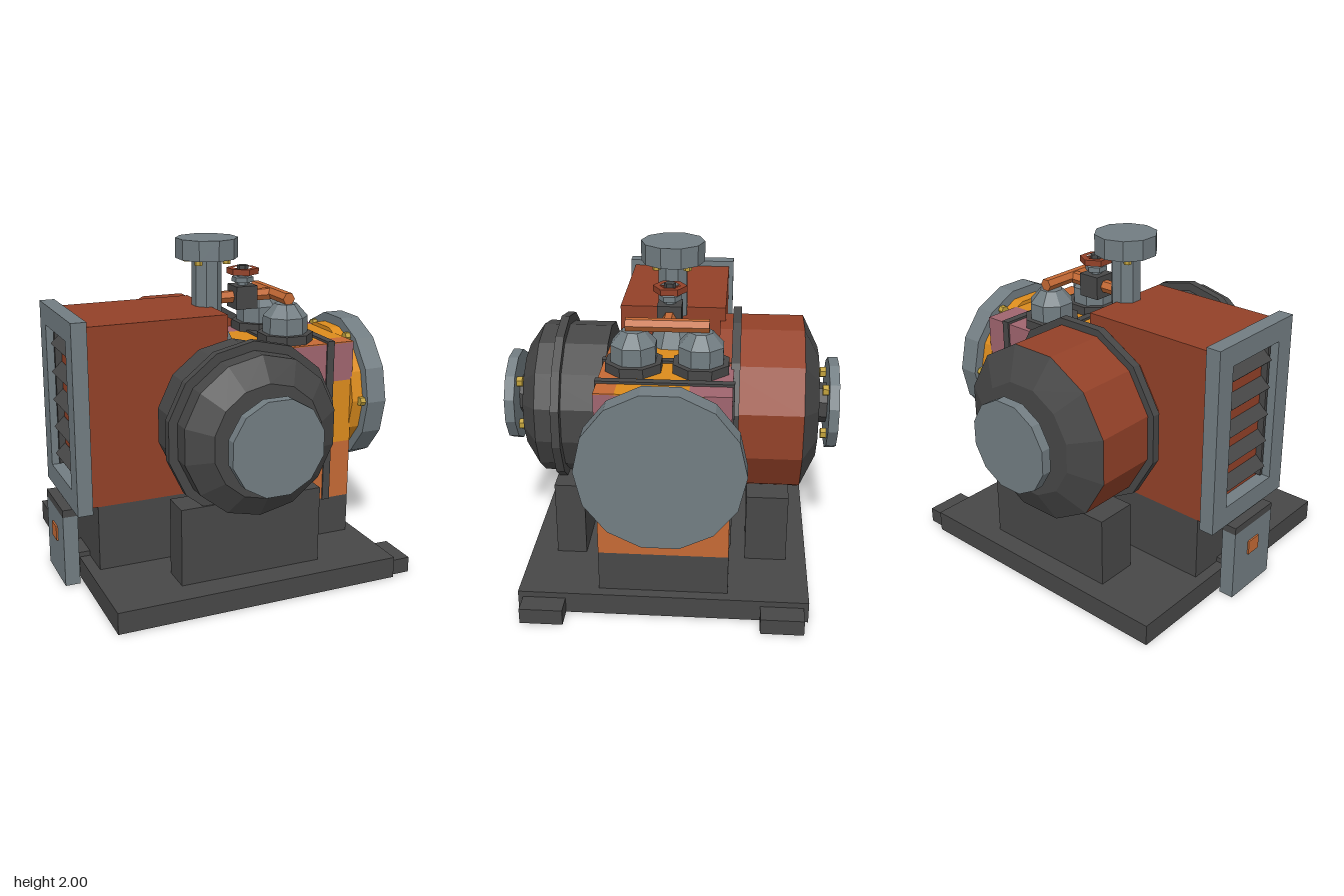
import * as THREE from 'three';

const material = (name, color) => {
  const m = new THREE.MeshStandardMaterial({ color, flatShading: true });
  m.name = name;
  return m;
};
const dark = material('dark iron', 0x474747);
const steel = material('blue grey steel', 0x727d82);
const rust = material('rust red', 0x934128);
const ochre = material('ochre', 0xdc8c1d);
const copper = material('copper', 0xc56a35);
const mauve = material('mauve', 0xa0656f);
const brass = material('brass', 0xc2a23c);

export function createModel() {
  const model = new THREE.Group();
  model.name = 'compressor';

  const add = (name, geometry, mat) => {
    const mesh = new THREE.Mesh(geometry, mat);
    mesh.name = name;
    model.add(mesh);
    return mesh;
  };
  // Box given by its limits on each axis
  const box = (name, mat, x0, x1, y0, y1, z0, z1) => {
    const mesh = add(name, new THREE.BoxGeometry(x1 - x0, y1 - y0, z1 - z0), mat);
    mesh.position.set((x0 + x1) / 2, (y0 + y1) / 2, (z0 + z1) / 2);
  };
  // Faceted cylinder or cone along an axis, from a to b, with radii ra and rb
  const cyl = (name, mat, axis, [x, y, z], a, b, ra, rb = ra, sides = 14, turn = 0) => {
    const g = new THREE.CylinderGeometry(rb, ra, b - a, sides, 1, false, turn);
    g.translate(0, (a + b) / 2, 0);
    if (axis === 'x') g.rotateZ(-Math.PI / 2);
    if (axis === 'z') g.rotateX(Math.PI / 2);
    g.translate(x, y, z);
    add(name, g, mat);
  };
  // Half-facet turns that put flats on the axes
  const flat8 = Math.PI / 8;
  const flat12 = Math.PI / 12;

  // Hollow base tray, open below, with lugs
  box('baseTop', dark, -0.875, 0.875, 0.12, 0.13, -0.843, 0.843);
  for (const s of [-1, 1]) {
    const x = s * 0.87;
    const z = s * 0.838;
    box('baseEndWall', dark, x - 0.005, x + 0.005, 0, 0.12, -0.843, 0.843);
    box('baseSideWall', dark, -0.865, 0.865, 0, 0.12, z - 0.005, z + 0.005);
    box('baseLug', dark, 0.78, 1, 0, 0.095, s * 0.69 - 0.125, s * 0.69 + 0.125);
  }

  // Pedestals and cylinder saddles
  box('bodyPedestal', dark, 0, 0.81, 0.125, 0.375, -0.375, 0.375);
  box('housingPedestal', dark, -0.81, 0, 0.125, 0.535, -0.31, 0.31);
  box('frontSaddle', dark, -0.44, 0.435, 0.125, 0.595, 0.505, 0.685);
  box('rearSaddle', dark, -0.44, 0.435, 0.125, 0.56, -0.72, -0.47);

  // Banded crankcase, with its top painted in strips
  const bands = [[copper, 0.375, 0.74], [ochre, 0.74, 1.135], [mauve, 1.135, 1.369]];
  for (const [mat, y0, y1] of bands) box('crankcaseBand', mat, 0, 0.81, y0, y1, -0.375, 0.375);
  const strips = [[mauve, -0.375, -0.14], [ochre, -0.14, 0.26], [copper, 0.26, 0.375]];
  for (const [mat, z0, z1] of strips) box('crankcaseTopStrip', mat, 0, 0.81, 1.369, 1.376, z0, z1);
  for (const x of [0.335, 0.65]) box('crankcaseStrap', dark, x - 0.024, x + 0.024, 0.37, 1.39, -0.385, 0.385);

  // Rust housing and louvred frame
  box('housing', rust, -0.86, 0, 0.53, 1.595, -0.315, 0.315);
  const polygon = (Class, points) => new Class(points.map(([x, y]) => new THREE.Vector2(x, y)));
  const rectangle = (w, h) => [[-w, -h], [w, -h], [w, h], [-w, h]];
  const frameShape = polygon(THREE.Shape, rectangle(0.345, 0.565));
  frameShape.holes.push(polygon(THREE.Path, rectangle(0.22, 0.44)));
  const frame = new THREE.ExtrudeGeometry(frameShape, { depth: 0.09, bevelEnabled: false });
  frame.rotateY(Math.PI / 2);
  frame.translate(-0.94, 1.065, 0);
  add('louvreFrame', frame, steel);
  for (let i = 0; i < 5; i++) {
    const slat = add('louvreSlat', new THREE.BoxGeometry(0.085, 0.015, 0.37), dark);
    slat.position.set(-0.888, 0.735 + i * 0.172, 0);
    slat.rotation.z = Math.PI / 4;
  }
  for (const z of [-0.19, 0.19]) box('louvrePost', dark, -0.9, -0.86, 0.64, 1.49, z - 0.01, z + 0.01);

  // Control panel at the foot of the housing
  box('controlPanel', steel, -0.99, -0.9, 0, 0.44, -0.185, 0.185);
  box('controlPanelCap', dark, -0.99, -0.9, 0.44, 0.485, -0.185, 0.185);
  box('panelBracket', dark, -0.91, -0.81, 0.03, 0.16, -0.1, 0.1);
  box('panelButton', copper, -1, -0.99, 0.24, 0.33, -0.05, 0.05);

  // Front and rear cylinders
  const c = [0, 1, 0];
  cyl('frontCylinder', dark, 'z', c, 0.37, 0.78, 0.467);
  cyl('frontCylinderCone', dark, 'z', c, 0.78, 0.875, 0.467, 0.33);
  cyl('frontCylinderRing', dark, 'z', c, 0.625, 0.675, 0.52);
  cyl('rearCylinder', rust, 'z', c, -0.78, -0.285, 0.532, 0.532, 12, flat12);
  cyl('rearCylinderCone', dark, 'z', c, -0.875, -0.78, 0.342, 0.532, 12, flat12);
  cyl('rearCylinderRing', dark, 'z', c, -0.41, -0.36, 0.575, 0.575, 12, flat12);
  for (const s of [-1, 1]) {
    const span = (a, b) => [s * a, s * b].sort((p, q) => p - q);
    cyl('portNeck', dark, 'z', c, ...span(0.87, 0.945), 0.122, 0.122, 8, flat8);
    cyl('portFlange', steel, 'z', c, ...span(0.94, 1), 0.28, 0.28, 12, flat12);
    for (let i = 0; i < 4; i++) {
      const t = Math.PI / 4 + i * Math.PI / 2;
      const at = [0.2 * Math.cos(t), 1 + 0.2 * Math.sin(t), 0];
      cyl('portBolt', brass, 'z', at, ...span(0.905, 0.942), 0.034, 0.034, 6);
    }
  }

  // Large side flange
  cyl('sideFlangeNeck', ochre, 'x', c, 0.8, 0.88, 0.41);
  cyl('sideFlange', steel, 'x', c, 0.873, 1, 0.468);
  for (let i = 0; i < 6; i++) {
    const t = i * Math.PI / 3;
    const at = [0, 1 + 0.42 * Math.sin(t), 0.42 * Math.cos(t)];
    cyl('sideFlangeBolt', brass, 'x', at, 0.84, 0.875, 0.028, 0.028, 6);
  }

  // Top outlet over a low conical collar
  const centre = [0, 0, 0];
  cyl('outletCollar', steel, 'y', centre, 1.37, 1.5, 0.16, 0.1, 8, flat8);
  cyl('outletPipe', steel, 'y', centre, 1.555, 1.89, 0.09, 0.09, 8, flat8);
  cyl('outletFlange', steel, 'y', centre, 1.88, 2, 0.187, 0.187, 10);
  for (const x of [-0.09, 0.09]) for (const z of [-0.09, 0.09]) {
    cyl('outletBolt', brass, 'y', [x, 0, z], 1.85, 1.885, 0.024, 0.024, 6);
  }

  // Twin valve domes joined by a copper pipe
  for (const z of [-0.19, 0.19]) {
    const at = [0.436, 0, z];
    cyl('domeFlange', dark, 'y', at, 1.37, 1.43, 0.17, 0.17, 8, flat8);
    cyl('dome', steel, 'y', at, 1.43, 1.53, 0.136, 0.136, 8, flat8);
    cyl('domeCap', steel, 'y', at, 1.53, 1.605, 0.136, 0.068, 8, flat8);
  }
  cyl('crossPipe', copper, 'z', [0.436, 1.637, 0], -0.235, 0.235, 0.039, 0.039, 6, Math.PI / 6);
  cyl('feedPipe', copper, 'x', [0, 1.632, 0], 0.08, 0.436, 0.039, 0.039, 6);

  // Hand valve with a six-sided wheel
  const v = [0.237, 0, 0];
  box('valveBody', dark, 0.167, 0.306, 1.56, 1.7, -0.07, 0.07);
  cyl('valveNeck', steel, 'y', v, 1.7, 1.765, 0.035, 0.035, 6);
  cyl('valveGland', steel, 'y', v, 1.72, 1.75, 0.066, 0.066, 6);
  cyl('valveStem', dark, 'y', v, 1.76, 1.82, 0.034, 0.034, 6);
  const hexagon = (r) => Array.from({ length: 6 }, (_, i) =>
    [r * Math.sin(i * Math.PI / 3), r * Math.cos(i * Math.PI / 3)]);
  const wheelShape = polygon(THREE.Shape, hexagon(0.098));
  wheelShape.holes.push(polygon(THREE.Path, hexagon(0.06)));
  const wheel = new THREE.ExtrudeGeometry(wheelShape, { depth: 0.036, bevelEnabled: false });
  wheel.rotateX(-Math.PI / 2);
  wheel.translate(0.237, 1.768, 0);
  add('valveHandwheel', wheel, rust);
  for (let i = 0; i < 3; i++) {
    const spoke = add('handwheelSpoke', new THREE.BoxGeometry(0.13, 0.016, 0.018), rust);
    spoke.position.set(0.237, 1.786, 0);
    spoke.rotation.y = i * Math.PI / 3;
  }

  return model;
}
